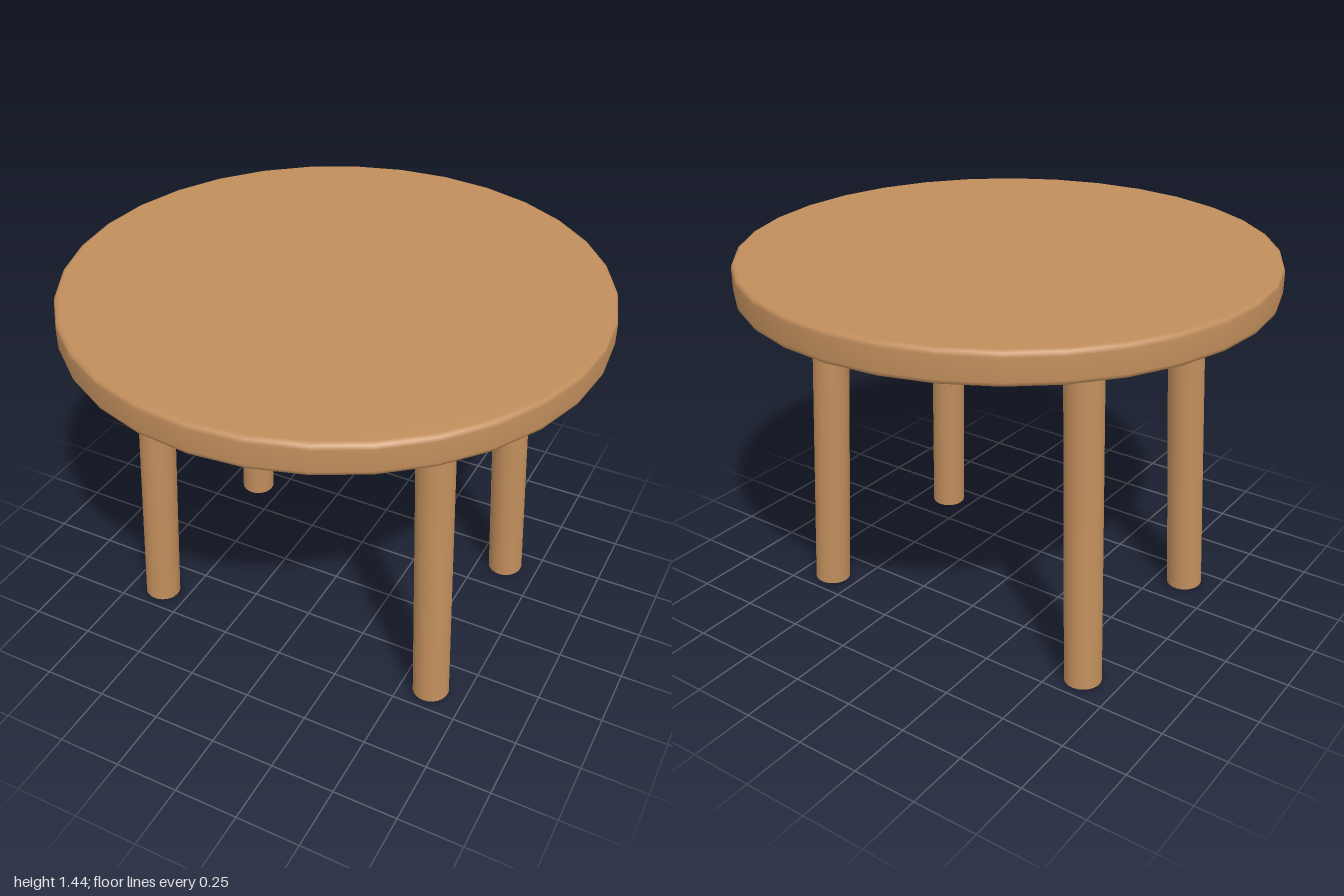
import * as THREE from 'three';

export function createModel() {
  const table = new THREE.Group();
  table.name = 'roundTable';
  const wood = new THREE.MeshStandardMaterial({ color: 0xc18e5c, side: THREE.DoubleSide });
  wood.name = 'tan wood';

  // Round top with slightly softened rim
  const profile = [
    [0, 1.32], [0.98, 1.32], [0.995, 1.326], [1, 1.34],
    [1, 1.42], [0.995, 1.434], [0.98, 1.44], [0, 1.44],
  ].map(([r, y]) => new THREE.Vector2(r, y));
  const top = new THREE.Mesh(new THREE.LatheGeometry(profile, 32), wood);
  top.name = 'tableTop';
  table.add(top);

  // Four splayed, open-ended legs
  const up = new THREE.Vector3(0, 1, 0);
  for (const sx of [1, -1]) {
    for (const sz of [1, -1]) {
      const foot = new THREE.Vector3(0.615 * sx, 0.005, 0.4 * sz);
      const head = new THREE.Vector3(0.557 * sx, 1.308, 0.362 * sz);
      const axis = head.clone().sub(foot);
      const leg = new THREE.Mesh(
        new THREE.CylinderGeometry(0.07, 0.07, axis.length(), 24, 1, true), wood);
      leg.position.copy(foot).add(head).multiplyScalar(0.5);
      leg.quaternion.setFromUnitVectors(up, axis.normalize());
      leg.name = (sz > 0 ? 'front' : 'back') + (sx > 0 ? 'Left' : 'Right') + 'Leg';
      table.add(leg);
    }
  }
  return table;
}
